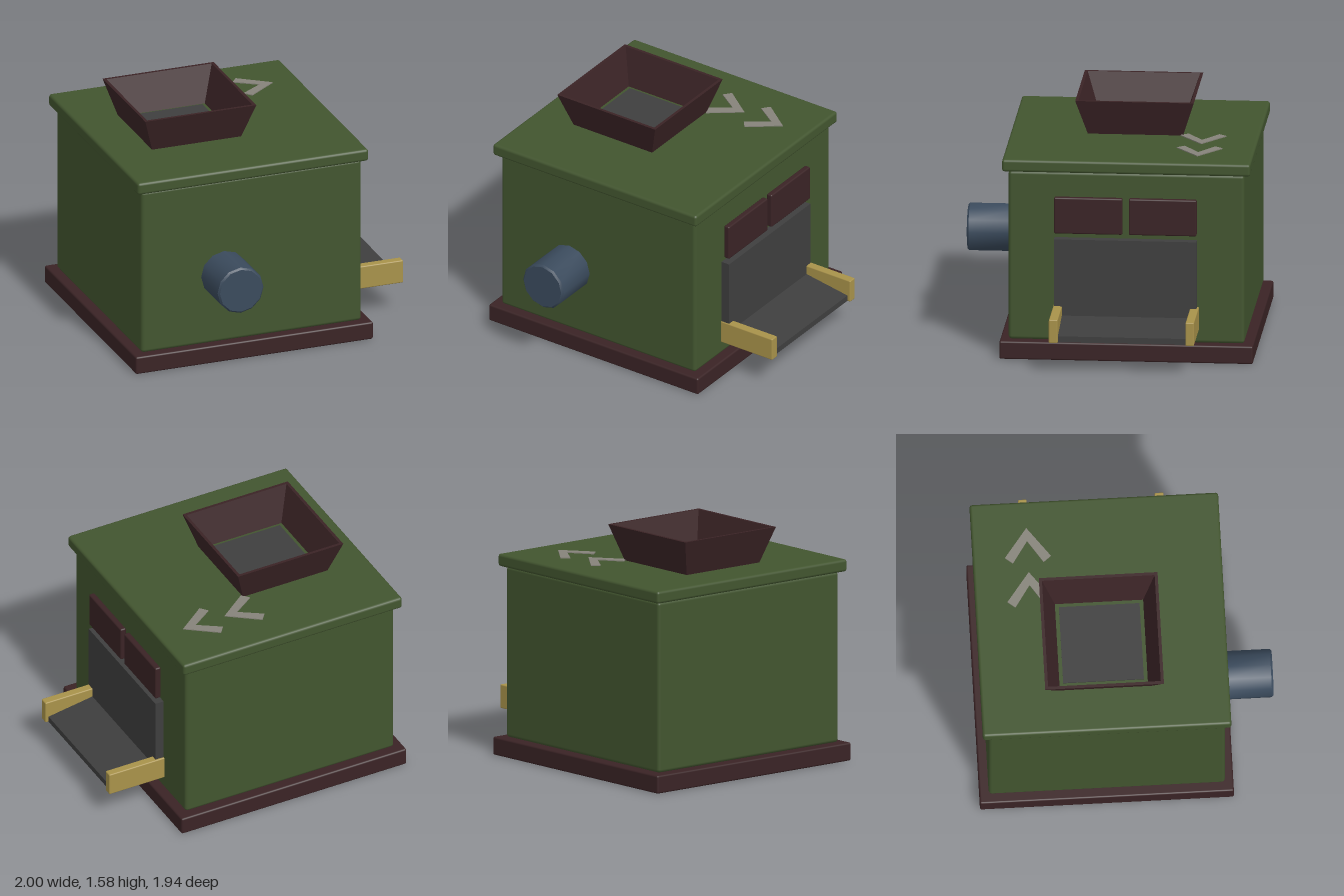
import * as THREE from 'three';
import { RoundedBoxGeometry } from 'three/addons/geometries/RoundedBoxGeometry.js';
import { toCreasedNormals } from 'three/addons/utils/BufferGeometryUtils.js';

const material = (name, color) => {
  const m = new THREE.MeshStandardMaterial({ color });
  m.name = name;
  return m;
};

export function createModel() {
  const model = new THREE.Group();
  model.name = 'hopperMachine';

  const green = material('green paint', 0x42552f);
  const maroon = material('dark maroon', 0x3a2325);
  const grey = material('dark grey metal', 0x3e3e3e);
  const brass = material('brass', 0xa8924a);
  const blue = material('slate blue', 0x3a4a5c);
  const pale = material('pale grey', 0x86837a);

  const add = (name, geometry, mat) => {
    const mesh = new THREE.Mesh(geometry, mat);
    mesh.name = name;
    model.add(mesh);
    return mesh;
  };
  // Box given by its limits on each axis, with optional rounded edges
  const box = (name, mat, [x0, x1], [y0, y1], [z0, z1], r = 0) => {
    const size = [x1 - x0, y1 - y0, z1 - z0];
    const g = r ? new RoundedBoxGeometry(...size, 2, r) : new THREE.BoxGeometry(...size);
    g.translate((x0 + x1) / 2, (y0 + y1) / 2, (z0 + z1) / 2);
    return add(name, g, mat);
  };
  const points = (list) => list.map(([x, y]) => new THREE.Vector2(x, y));

  // Cabinet
  box('base', maroon, [-1, 0.655], [0, 0.12], [-0.97, 0.685], 0.012);
  box('body', green, [-0.94, 0.595], [0.12, 1.255], [-0.91, 0.63], 0.022);
  box('lid', green, [-0.98, 0.63], [1.255, 1.337], [-0.95, 0.67], 0.018);

  // Hopper: square funnel with open bottom
  const s = Math.SQRT2;
  const funnel = new THREE.LatheGeometry(
    points([[0.31 * s, 0], [0.387 * s, 0.24], [0.367 * s, 0.24], [0.287 * s, 0], [0.31 * s, 0]]),
    4, Math.PI / 4);
  add('hopper', toCreasedNormals(funnel, 0.3), maroon).position.set(-0.377, 1.335, -0.145);
  box('hopperFloor', grey, [-0.64, -0.114], [1.33, 1.345], [-0.408, 0.118]);

  // Arrow marks on the lid
  const arrow = new THREE.Shape(points([
    [-0.2, -0.15], [0, 0], [-0.2, 0.15], [-0.24, 0.1], [-0.09, 0], [-0.24, -0.1]]));
  for (const x of [0.14, 0.445]) {
    const mark = add('arrowMark', new THREE.ExtrudeGeometry(arrow, { depth: 0.008, bevelEnabled: false }), pale);
    mark.rotation.x = -Math.PI / 2;
    mark.position.set(x, 1.335, -0.59);
  }

  // Front knob on a short axle
  const knob = new THREE.LatheGeometry(
    points([[0, 0], [0.148, 0], [0.16, 0.012], [0.16, 0.308], [0.148, 0.32], [0, 0.32]]), 12);
  const knobMesh = add('knob', toCreasedNormals(knob, 0.6), blue);
  knobMesh.rotation.x = Math.PI / 2;
  knobMesh.position.set(-0.377, 0.61, 0.65);
  const axle = add('knobAxle', new THREE.CylinderGeometry(0.08, 0.08, 0.04, 12), blue);
  axle.rotation.x = Math.PI / 2;
  axle.position.set(-0.377, 0.61, 0.64);

  // Side panels and their mounts
  for (const [z0, z1] of [[-0.602, -0.16], [-0.118, 0.328]]) {
    box('sidePanel', maroon, [0.614, 0.655], [0.853, 1.096], [z0, z1], 0.01);
    box('panelMount', maroon, [0.58, 0.62], [0.93, 1.02], [z0 + 0.1, z1 - 0.1]);
  }

  // Back plate and sloping tray of the outlet
  box('outletPlate', grey, [0.58, 0.655], [0.21, 0.815], [-0.602, 0.328]);
  const trayShape = new THREE.Shape(points([
    [0.64, 0.25], [0.92, 0.21], [0.978, 0.21], [0.978, 0.25], [0.92, 0.26], [0.64, 0.305]]));
  add('tray', new THREE.ExtrudeGeometry(trayShape, { depth: 0.85, bevelEnabled: false }), grey)
    .position.z = -0.562;
  for (const [z0, z1] of [[-0.614, -0.558], [0.276, 0.334]]) {
    box('trayRail', brass, [0.59, 1], [0.207, 0.365], [z0, z1], 0.008);
  }

  return model;
}
